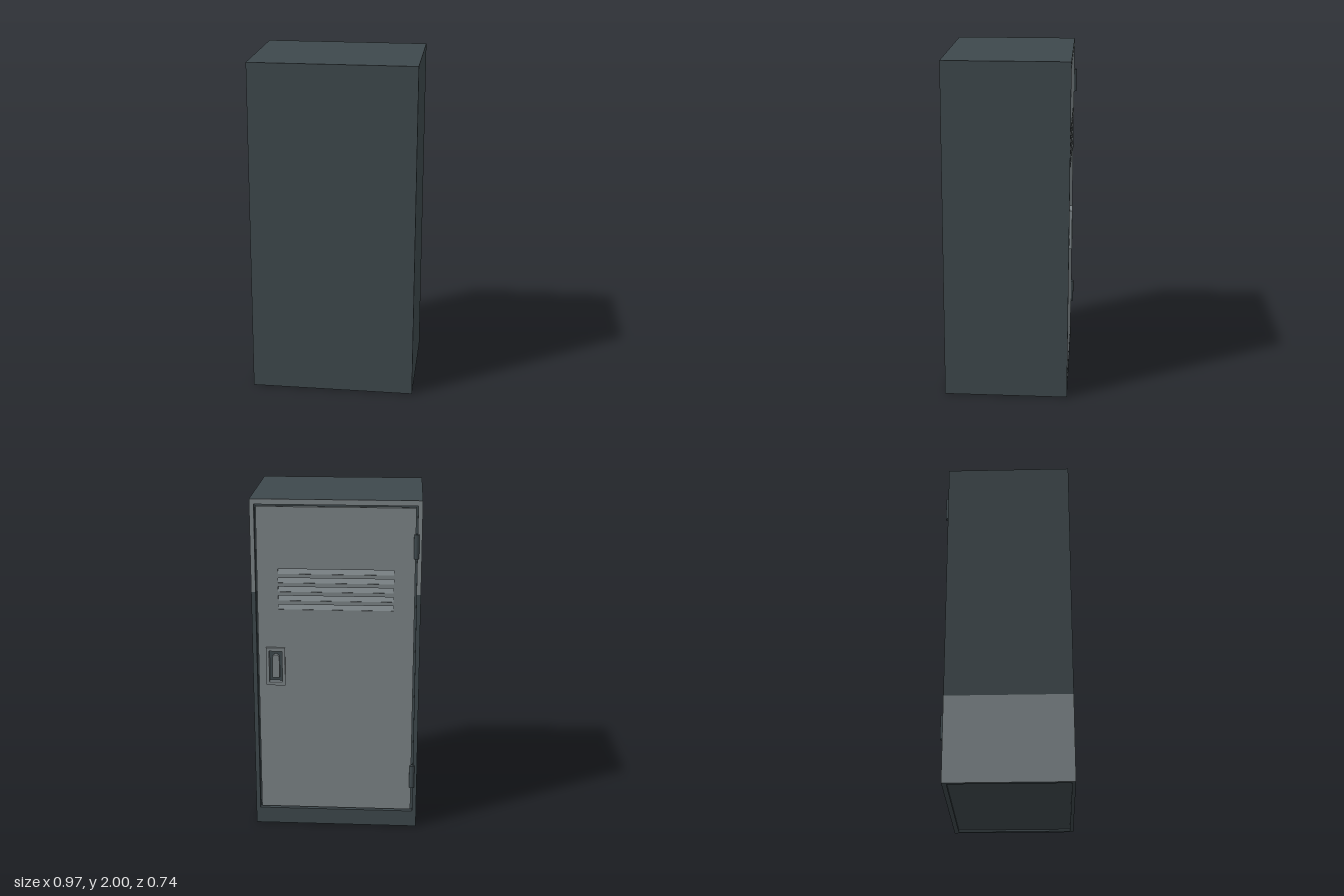
import * as THREE from 'three';

const dark = new THREE.MeshStandardMaterial({ color: 0x3e484c });
dark.name = 'dark steel';
const grey = new THREE.MeshStandardMaterial({ color: 0x7c8487 });
grey.name = 'grey steel';

const FACE = -0.357; // plane of the door and its frame
const BACK = 0.37;

export function createModel() {
  const model = new THREE.Group();
  model.name = 'locker';

  const add = (name, geometry, material, x = 0, y = 0, z = 0, parent = model) => {
    const mesh = new THREE.Mesh(geometry, material);
    mesh.name = name;
    mesh.position.set(x, y, z);
    parent.add(mesh);
    return mesh;
  };

  // Box given by its limits; chosen faces (1 = -x, 5 = -z) can be grey
  const box = (name, x0, x1, y0, y1, z0, z1, greyFaces = []) => {
    const mats = [0, 1, 2, 3, 4, 5].map((i) => (greyFaces.includes(i) ? grey : dark));
    return add(name, new THREE.BoxGeometry(x1 - x0, y1 - y0, z1 - z0),
      greyFaces.length ? mats : dark, (x0 + x1) / 2, (y0 + y1) / 2, (z0 + z1) / 2);
  };

  // Cabinet walls, whose edges form the door frame
  const W = 0.485, I = 0.46;
  box('plainSideLower', I, W, 0, 1.46, FACE, BACK);
  box('plainSideUpper', I, W, 1.46, 2, FACE, BACK, [5]);
  box('hingeSideLower', -W, -I, 0, 0.51, FACE, BACK, [1]);
  box('hingeSideMiddle', -W, -I, 0.51, 1.46, FACE, BACK);
  box('hingeSideUpper', -W, -I, 1.46, 2, FACE, BACK, [5]);
  box('top', -I, I, 1.97, 2, FACE, BACK, [5]);
  box('rearPanel', -I, I, 0, 1.97, 0.35, BACK);
  box('kickPlate', -I, I, 0, 0.1, FACE, -0.33);
  box('floor', -I, I, 0.012, 0.03, -0.33, 0.35);
  box('doorBacking', -I, I, 0.03, 1.97, -0.325, -0.315);

  // Rectangle outline as a shape or hole
  const rect = (Type, x0, x1, y0, y1) => new Type([
    [x0, y0], [x1, y0], [x1, y1], [x0, y1],
  ].map(([x, y]) => new THREE.Vector2(x, y)));
  const plate = (shape, depth) =>
    new THREE.ExtrudeGeometry(shape, { depth, bevelEnabled: false });

  // Door with vent slots and a handle opening
  const slots = [0, 1, 2, 3, 4].map((i) => 1.375 + i * 0.0525);
  const grip = [0.312, 0.388, 0.92, 1.11];
  const door = rect(THREE.Shape, -0.45, 0.45, 0.112, 1.958);
  slots.forEach((y) => door.holes.push(rect(THREE.Path, -0.33, 0.33, y - 0.015, y + 0.015)));
  door.holes.push(rect(THREE.Path, ...grip));
  add('door', plate(door, 0.022), grey, 0, 0, FACE);

  // Sloping louvre inside each slot
  slots.forEach((y) => {
    const slat = add('louvre', new THREE.BoxGeometry(0.66, 0.036, 0.003), grey, 0, y, FACE + 0.012);
    slat.rotation.x = Math.atan2(0.02, 0.03);
  });

  // Handle: raised rim, recessed pocket and lever
  const handle = new THREE.Group();
  handle.name = 'handle';
  model.add(handle);
  const rim = rect(THREE.Shape, 0.295, 0.405, 0.9, 1.13);
  rim.holes.push(rect(THREE.Path, ...grip));
  add('handleRim', plate(rim, 0.015), grey, 0, 0, FACE - 0.015, handle);
  add('handlePocket', new THREE.BoxGeometry(0.076, 0.19, 0.006), dark, 0.35, 1.015, -0.337, handle);
  const lever = new THREE.Shape();
  lever.moveTo(-0.02, -0.065);
  lever.lineTo(0.02, -0.065);
  lever.lineTo(0.02, 0.055);
  lever.absarc(0, 0.055, 0.02, 0, Math.PI, false);
  lever.closePath();
  add('handleLever', plate(lever, 0.022), grey, 0.35, 1.01, -0.362, handle);

  // Hinge barrels
  [0.33, 1.74].forEach((y) =>
    add('hinge', new THREE.CylinderGeometry(0.015, 0.015, 0.14, 12), dark, -0.455, y, FACE));

  return model;
}
